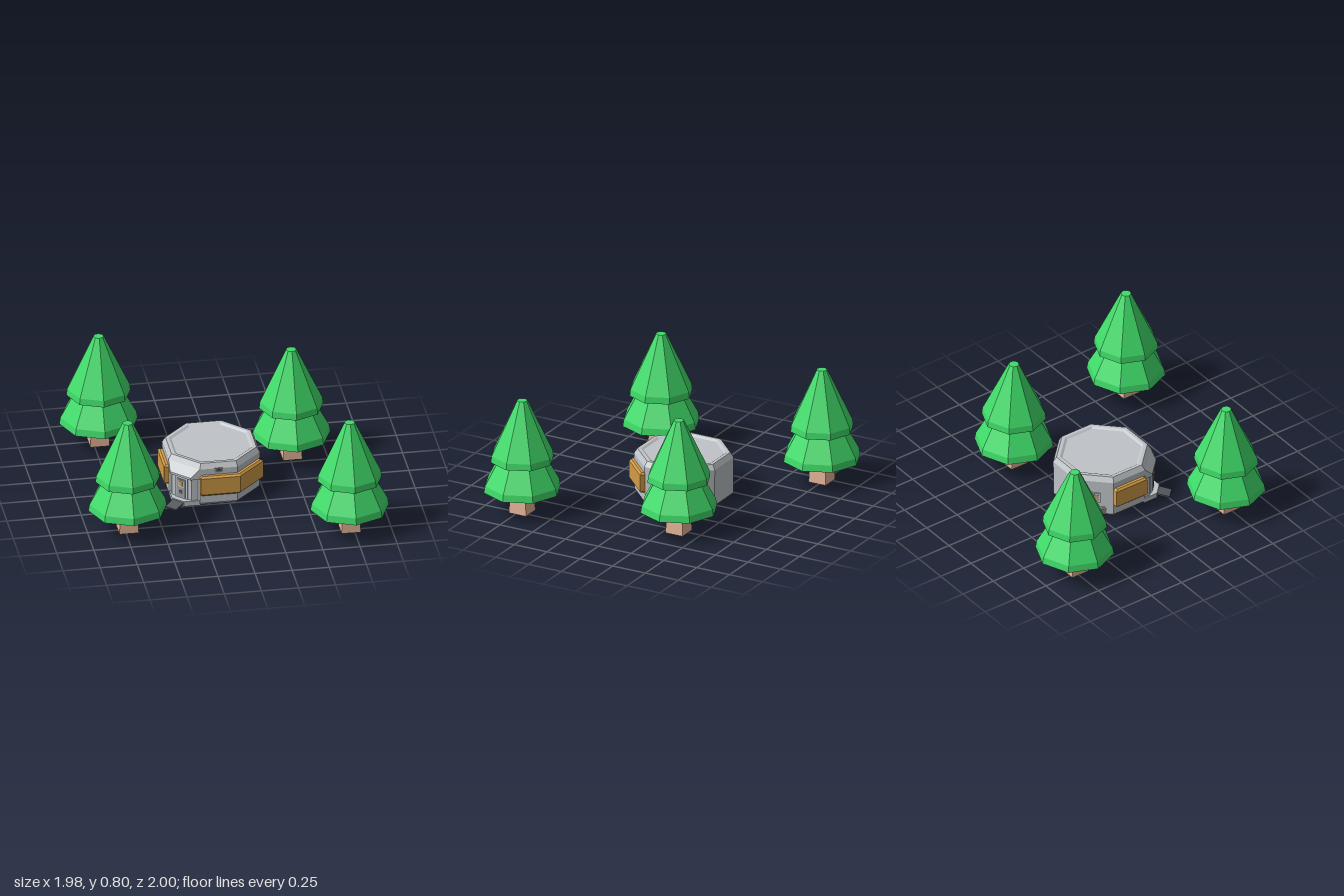
import * as THREE from 'three';
import { ConvexGeometry } from 'three/addons/geometries/ConvexGeometry.js';

const mat = (name, color) => {
  const m = new THREE.MeshStandardMaterial({ color });
  m.name = name;
  return m;
};

// Faceted normals for the low-poly look
const flat = (geo) => {
  const g = geo.index ? geo.toNonIndexed() : geo;
  g.computeVertexNormals();
  return g;
};

export function createModel() {
  const leaf = mat('leafGreen', 0x40dc6a);
  const bark = mat('barkBrown', 0xe4b598);
  const grey = mat('wallGrey', 0xbfc4c8);
  const mid = mat('trimGrey', 0x94999c);
  const dark = mat('darkGrey', 0x545a5d);
  const gold = mat('panelGold', 0xd29c46);

  const model = new THREE.Group();
  const add = (parent, name, geo, material, x = 0, y = 0, z = 0) => {
    const m = new THREE.Mesh(flat(geo), material);
    m.name = name;
    m.position.set(x, y, z);
    parent.add(m);
    return m;
  };
  const box = (w, h, d) => new THREE.BoxGeometry(w, h, d);
  const lathe = (pts, start) => new THREE.LatheGeometry(
    pts.map(([x, y]) => new THREE.Vector2(x, y)), 8, start);

  // Trees: square tapering trunk and two octagonal skirts
  const crown = [[0, 0.162], [0.264, 0.162], [0.256, 0.21], [0.167, 0.375],
    [0.216, 0.375], [0.211, 0.42], [0.035, 0.8], [0, 0.8]];
  for (const [x, z] of [[-0.715, -0.738], [0.515, -0.34], [-0.73, 0.496], [0.725, 0.735]]) {
    const tree = new THREE.Group();
    tree.name = 'tree';
    tree.position.set(x, 0, z);
    add(tree, 'crown', lathe(crown, 0), leaf);
    const trunk = new THREE.CylinderGeometry(0.08, 0.092, 0.17, 4);
    trunk.rotateY(Math.PI / 4);
    add(tree, 'trunk', trunk, bark, 0, 0.085, 0);
    model.add(tree);
  }

  // Octagonal building, sized by the distance from centre to wall
  const hut = new THREE.Group();
  hut.name = 'building';
  hut.position.set(-0.075, 0, -0.047);
  model.add(hut);
  const K = 1 / Math.cos(Math.PI / 8);
  const octagon = (pts) => lathe(pts.map(([a, y]) => [a * K, y]), Math.PI / 8);

  add(hut, 'walls', octagon([[0, 0.002], [0.29, 0.002], [0.305, 0.02], [0.305, 0.235],
    [0, 0.235]]), grey);
  add(hut, 'roof', octagon([[0, 0.232], [0.308, 0.232], [0.308, 0.275], [0.287, 0.31],
    [0.264, 0.31], [0.249, 0.3], [0, 0.3]]), grey);

  // Shape drawn in plan (x, z) and raised to a bevelled slab
  const slab = (pts, y0, y1, bevel) => {
    const shape = new THREE.Shape(pts.map(([x, z]) => new THREE.Vector2(x, -z)));
    const g = new THREE.ExtrudeGeometry(shape, {
      depth: y1 - y0 - 2 * bevel, bevelEnabled: bevel > 0, bevelThickness: bevel,
      bevelSize: bevel, bevelOffset: -bevel, bevelSegments: 1 });
    g.rotateX(-Math.PI / 2);
    g.translate(0, y0 + bevel, 0);
    return g;
  };

  // Gold panels following one or more walls, with square-cut ends
  const goldBand = (first, last) => {
    const point = (face, a, u) => {
      const t = face * Math.PI / 4;
      return [a * Math.sin(t) + u * Math.cos(t), a * Math.cos(t) - u * Math.sin(t)];
    };
    const line = (a) => {
      const pts = [point(first, a, -0.126)];
      for (let f = first; f < last; f++) pts.push(point(f, a, a * Math.tan(Math.PI / 8)));
      return [...pts, point(last, a, 0.126)];
    };
    return slab([...line(0.28), ...line(0.338).reverse()], 0.085, 0.23, 0.013);
  };
  add(hut, 'frontPanel', goldBand(0, 1), gold);
  add(hut, 'rightPanel', goldBand(-2, -2), gold);

  // Groups whose local +z points out of a wall
  const side = (name, eighths) => {
    const g = new THREE.Group();
    g.name = name;
    g.rotation.y = eighths * Math.PI / 4;
    hut.add(g);
    return g;
  };

  // Entrance on the front right corner: porch, sloping hood, door and ramp
  const entry = side('entrance', -1);
  add(entry, 'apron', slab([[-0.127, 0.3], [0.127, 0.3], [0.05, 0.378], [-0.05, 0.378]],
    0.004, 0.04, 0), grey);
  add(entry, 'porch', slab([[-0.125, 0.29], [0.125, 0.29], [0.08, 0.335], [-0.08, 0.335]],
    0.03, 0.21, 0), grey);
  const hood = [];
  for (const s of [-1, 1]) {
    for (const [u, y, d] of [[0.127, 0.2, 0.29], [0.127, 0.2, 0.308], [0.083, 0.2, 0.352],
      [0.083, 0.215, 0.352], [0.127, 0.275, 0.308], [0.127, 0.275, 0.29]]) {
      hood.push(new THREE.Vector3(s * u, y, d));
    }
  }
  add(entry, 'hood', new ConvexGeometry(hood), grey);
  add(entry, 'doorFrame', box(0.1, 0.16, 0.012), grey, 0, 0.12, 0.337);
  add(entry, 'door', box(0.07, 0.135, 0.006), mid, 0, 0.115, 0.343);
  add(entry, 'doorWindowFrame', box(0.045, 0.05, 0.006), grey, 0, 0.148, 0.346);
  add(entry, 'doorWindow', box(0.028, 0.032, 0.004), gold, 0, 0.148, 0.349);
  add(entry, 'doorHandle', box(0.03, 0.022, 0.006), dark, 0, 0.085, 0.346);
  add(entry, 'ramp', box(0.088, 0.012, 0.1), dark, 0, 0.019, 0.412).rotation.x = 0.2;

  // Small framed vent in the roof edge
  const front = side('roofVent', 0);
  add(front, 'ventFrame', box(0.058, 0.032, 0.01), mid, 0, 0.262, 0.307);
  add(front, 'ventOpening', box(0.04, 0.016, 0.004), dark, 0, 0.262, 0.312);

  // Low intakes with a window above
  for (const eighths of [2, -3]) {
    const unit = side('wallUnit', eighths);
    add(unit, 'windowFrame', box(0.078, 0.075, 0.014), grey, 0, 0.147, 0.308);
    add(unit, 'windowRim', box(0.055, 0.052, 0.006), mid, 0, 0.147, 0.315);
    add(unit, 'windowPane', box(0.034, 0.03, 0.004), gold, 0, 0.147, 0.318);
    add(unit, 'intakeHood', slab([[-0.093, 0.295], [0.093, 0.295], [0.035, 0.327],
      [-0.035, 0.327]], 0.02, 0.075, 0), grey);
    for (const s of [-1, 1]) {
      const slot = add(unit, 'intakeSlot', box(0.055, 0.032, 0.006), mid,
        s * 0.062, 0.044, 0.311);
      slot.rotation.y = s * 0.504;
    }
  }
  return model;
}
